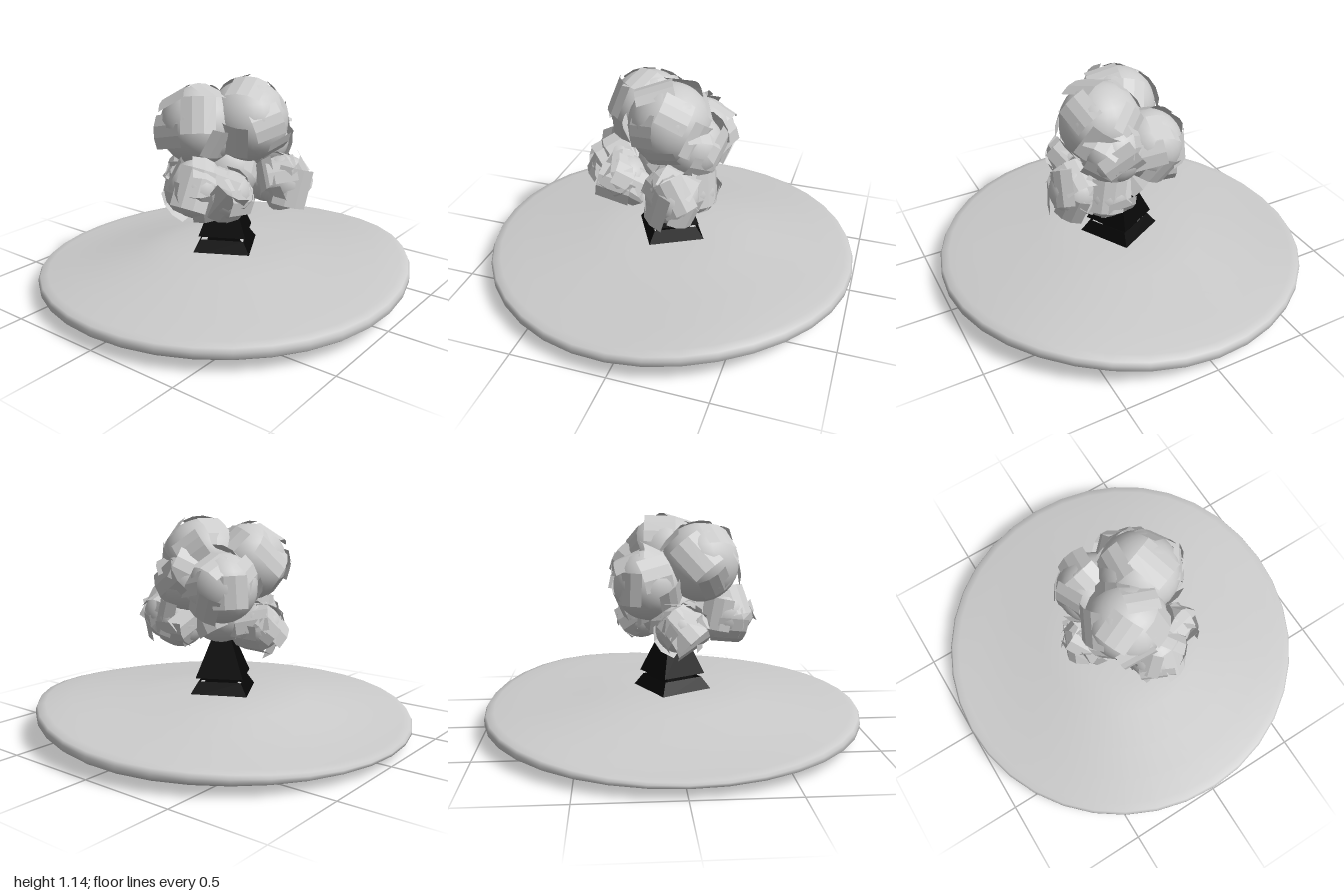
import * as THREE from 'three';

const leafMat = new THREE.MeshStandardMaterial({ color: 0xcccccc, flatShading: true, side: THREE.DoubleSide });
const smoothMat = new THREE.MeshStandardMaterial({ color: 0xcccccc });
const groundMat = new THREE.MeshStandardMaterial({ color: 0xcccccc, side: THREE.DoubleSide });
const darkMat = new THREE.MeshStandardMaterial({ color: 0x060606, flatShading: true, side: THREE.DoubleSide });

let seed = 7;
const rand = () => {
  seed = (seed * 16807) % 2147483647;
  return seed / 2147483647;
};
const spread = (a) => (rand() * 2 - 1) * a;

function add(parent, geometry, material, name, x = 0, y = 0, z = 0) {
  const m = new THREE.Mesh(geometry, material);
  m.name = name;
  m.position.set(x, y, z);
  parent.add(m);
  return m;
}

// Domed island: rings of [radius, height, share of rim waviness], top centre to underside
function groundGeometry() {
  const rings = [
    [0.1, 0.207, 0], [0.3, 0.207, 0.05], [0.45, 0.192, 0.25], [0.65, 0.166, 0.6], [0.82, 0.146, 0.9],
    [0.95, 0.129, 1], [0.99, 0.12, 1], [1, 0.1, 1], [1, 0.072, 1], [0.985, 0.06, 1], [0.95, 0.055, 0.9],
    [0.8, 0.054, 0.5], [0.5, 0.056, 0.1], [0.1, 0.058, 0],
  ];
  const n = 36, pos = [], idx = [];
  rings.forEach(([r, h, w], i) => {
    for (let j = 0; j < n; j++) {
      const a = (j / n) * Math.PI * 2, c = Math.cos(a), s = Math.sin(a);
      // the rim lifts at the back right corner and thins out on the other side
      const lift = 0.008 * c + 0.052 * Math.max(0, 0.75 * c - 0.66 * s) ** 4;
      const thin = 1 - 0.5 * w * Math.max(0, -c) ** 3;
      pos.push(r * c, 0.05 + (h - 0.05) * thin + w * lift, r * s);
      if (i === rings.length - 1) continue;
      const p = i * n + j, q = i * n + (j + 1) % n;
      idx.push(p + n, q, p, p + n, q + n, q);
    }
  });
  const g = new THREE.BufferGeometry();
  g.setAttribute('position', new THREE.Float32BufferAttribute(pos, 3));
  g.setIndex(idx);
  g.computeVertexNormals();
  return g;
}

// Square leaf card, bent across its width
function leafCard(size, r) {
  const g = new THREE.PlaneGeometry(size, size * (0.85 + rand() * 0.3), 3, 1);
  const p = g.attributes.position;
  for (let i = 0; i < p.count; i++) p.setZ(i, -(p.getX(i) ** 2) / (1.7 * r));
  return g;
}

// Foliage clumps: x, y, z, radius
const clumps = [
  [-0.05, 0.89, 0.14, 0.205], [0.13, 0.91, -0.03, 0.21], [-0.09, 0.78, -0.13, 0.18],
  [0.12, 0.8, -0.14, 0.165], [0.04, 0.6, 0.27, 0.15], [0.31, 0.6, -0.1, 0.135],
  [-0.21, 0.57, 0.02, 0.12], [0.17, 0.58, 0.2, 0.125],
  [0.17, 0.58, -0.16, 0.13], [0.02, 0.64, 0, 0.175],
];

function foliage() {
  const group = new THREE.Group();
  group.name = 'foliage';
  clumps.forEach(([x, y, z, r], k) => {
    const clump = new THREE.Group();
    clump.name = 'leafClump';
    clump.position.set(x, y, z);
    group.add(clump);
    add(clump, new THREE.SphereGeometry(r, 24, 16), smoothMat, 'clumpCore');
    const count = 13;
    for (let i = 0; i < count; i++) {
      const t = 1 - (2 * (i + 0.5)) / count, a = i * 2.39996 + k;
      const s = Math.sqrt(1 - t * t);
      const dir = new THREE.Vector3(s * Math.cos(a), t, s * Math.sin(a));
      const at = dir.clone().multiplyScalar(r * 1.02);
      const world = at.clone().add(clump.position);
      // cards buried in a neighbouring clump, or hanging too low, are left out
      const buried = clumps.some((c, j) => j !== k &&
        world.distanceTo(new THREE.Vector3(c[0], c[1], c[2])) < c[3] * 0.92);
      if (buried || t < -0.65) continue;
      const card = add(clump, leafCard(0.15 + rand() * 0.035, r), leafMat, 'leaf', at.x, at.y, at.z);
      card.quaternion.setFromUnitVectors(new THREE.Vector3(0, 0, 1), dir);
      card.rotateZ(rand() * Math.PI);
      card.rotateX(spread(0.2));
      card.rotateY(spread(0.2));
    }
  });
  return group;
}

// Four-sided dark trunk in flared tiers, with a pierced base plate on two runners
function trunk() {
  const group = new THREE.Group();
  group.name = 'trunk';
  const tiers = [
    // top radius, bottom radius, bottom y, height, twist
    [0.16, 0.225, 0.19, 0.08, 0.5],
    [0.11, 0.12, 0.25, 0.06, 0.5],
    [0.075, 0.178, 0.29, 0.2, 0.5],
    [0.19, 0.2, 0.05, 0.15, 0.5],
  ];
  tiers.forEach(([rt, rb, y, h, twist]) => {
    const m = add(group, new THREE.CylinderGeometry(rt, rb, h, 4, 1, true), darkMat, 'trunkTier', 0.01, y + h / 2, 0);
    m.rotation.y = Math.PI / 4 + twist;
  });

  const corners = [[0.1, 0.2], [0.2, -0.16], [-0.17, -0.16], [-0.27, 0.2]];
  const shape = new THREE.Shape(corners.map(([x, z]) => new THREE.Vector2(x, z)));
  shape.holes.push(new THREE.Path().absarc(-0.04, 0.03, 0.045, 0, Math.PI * 2, true));
  const plate = new THREE.ExtrudeGeometry(shape, { depth: 0.02, bevelEnabled: false });
  plate.rotateX(Math.PI / 2);
  add(group, plate, darkMat, 'basePlate', 0, 0.068, 0);

  // each runner joins a front and a back foot
  for (const x of [0.15, -0.22]) {
    const runner = add(group, new THREE.CylinderGeometry(0.022, 0.022, 0.37, 10), darkMat, 'runner', x, 0.068, 0.02);
    runner.rotation.set(Math.PI / 2, 0, 0.27);
  }
  corners.forEach(([x, z]) => {
    const foot = add(group, new THREE.CylinderGeometry(0.045, 0.045, 0.06, 10), darkMat, 'foot', x, 0.073, z);
    foot.rotation.set(Math.PI / 2, 0, 0.27);
  });
  const peg = add(group, new THREE.BoxGeometry(0.09, 0.05, 0.06), darkMat, 'rootPeg', 0, 0.032, -0.03);
  peg.rotation.z = -0.15;
  return group;
}

export function createModel() {
  const model = new THREE.Group();
  model.name = 'treeOnIsland';
  add(model, groundGeometry(), groundMat, 'ground');
  model.add(trunk(), foliage());
  return model;
}
